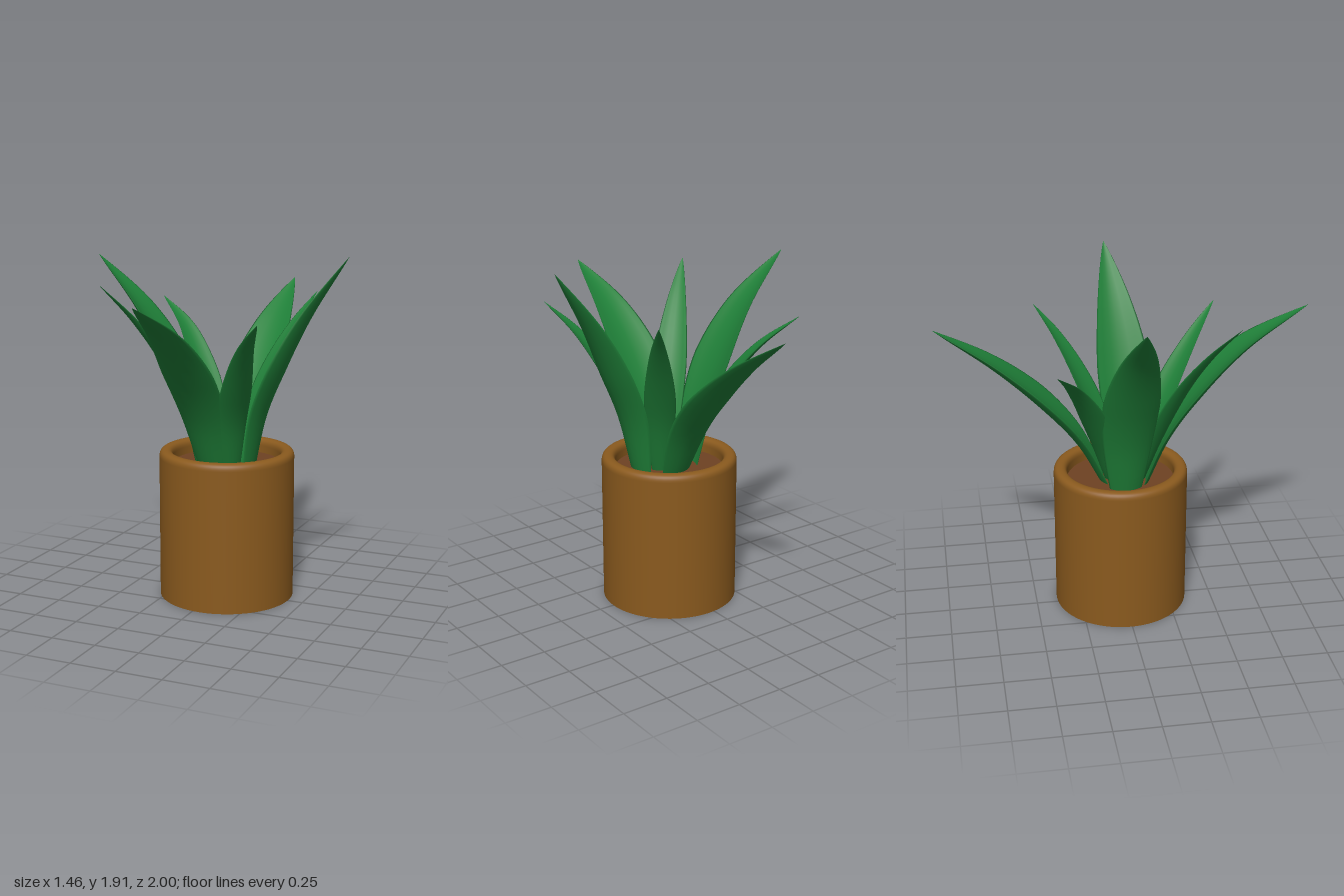
import * as THREE from 'three';

const material = (color, side = THREE.FrontSide) => new THREE.MeshStandardMaterial({ color, side });

// Half-width of a blade along its length: narrow foot, full middle, rounded tip
function bladeWidth(t) {
  const peak = 0.45;
  if (t < peak) return 0.55 + 0.45 * Math.sin((Math.PI / 2) * (t / peak));
  return Math.pow(Math.max(0, 1 - Math.pow((t - peak) / (1 - peak), 1.4)), 0.9);
}

// Closed, channelled blade swept along a curve from foot to tip
function leafGeometry(points, halfWidth) {
  const curve = new THREE.CatmullRomCurve3(points.map((p) => new THREE.Vector3(...p)));
  const rows = 36, half = 8, ring = half * 2;
  const foot = curve.getPoint(0), tip = curve.getPoint(1);
  const side = new THREE.Vector3(tip.z - foot.z, 0, foot.x - tip.x).normalize();
  const position = [], index = [];
  for (let i = 0; i <= rows; i++) {
    const t = Math.sin((i / rows) * Math.PI / 2); // finer rows near the tip
    const centre = curve.getPointAt(t);
    const tangent = curve.getTangentAt(t);
    const across = side.clone().addScaledVector(tangent, -side.dot(tangent)).normalize();
    const up = new THREE.Vector3().crossVectors(tangent, across).normalize();
    const w = halfWidth * bladeWidth(t);
    for (let j = 0; j < ring; j++) {
      const angle = (j / ring) * Math.PI * 2;
      const u = Math.cos(angle);
      const lift = w * (0.32 * (u * u - 0.5) + 0.1 * Math.sin(angle));
      const p = centre.clone().addScaledVector(across, u * w).addScaledVector(up, lift);
      position.push(p.x, p.y, p.z);
    }
  }
  for (let i = 0; i < rows; i++) {
    for (let j = 0; j < ring; j++) {
      const a = i * ring + j, b = i * ring + ((j + 1) % ring);
      index.push(a, b, a + ring, b, b + ring, a + ring);
    }
  }
  const geometry = new THREE.BufferGeometry();
  geometry.setAttribute('position', new THREE.Float32BufferAttribute(position, 3));
  geometry.setIndex(index);
  geometry.computeVertexNormals();
  return geometry;
}

export function createModel() {
  const model = new THREE.Group();
  const potX = 0.042, potZ = -0.01;

  // Pot with a rounded rim and a hollow top
  const profile = new THREE.Path();
  profile.moveTo(0, 0);
  profile.lineTo(0.372, 0);
  profile.lineTo(0.372, 0.79);
  profile.quadraticCurveTo(0.372, 0.83, 0.335, 0.83);
  profile.quadraticCurveTo(0.298, 0.83, 0.298, 0.79);
  profile.lineTo(0.298, 0.7);
  const outline = profile.getPoints(8);
  // Doubled corner points keep the base edge sharp
  const split = [outline[0], new THREE.Vector2(0.3715, 0), ...outline.slice(1)];
  const pot = new THREE.Mesh(new THREE.LatheGeometry(split, 64), material(0x8a5a1e, THREE.DoubleSide));
  pot.name = 'pot';
  pot.position.set(potX, 0, potZ);
  model.add(pot);

  // Soil disc just below the rim
  const soil = new THREE.Mesh(new THREE.CylinderGeometry(0.3, 0.3, 0.04, 48), material(0x6e4222));
  soil.name = 'soil';
  soil.position.set(potX, 0.73, potZ);
  model.add(soil);

  // Leaves: name, half-width, path from foot to tip
  const leaves = [
    ['frontLeaf', 0.15, [[0.01, 0.72, 0.11], [0, 1.03, 0.23], [-0.01, 1.28, 0.4], [-0.01, 1.52, 0.65], [-0.01, 1.73, 1]]],
    ['backLeaf', 0.15, [[0.05, 0.72, -0.09], [0.055, 1, -0.23], [0.06, 1.22, -0.41], [0.06, 1.45, -0.67], [0.06, 1.67, -1]]],
    ['rightLeaf', 0.153, [[-0.1, 0.72, 0], [-0.17, 1.05, 0], [-0.28, 1.32, 0.005], [-0.46, 1.6, 0.01], [-0.73, 1.87, 0]]],
    ['leftLeaf', 0.15, [[0.2, 0.72, 0.045], [0.26, 1.05, 0.05], [0.36, 1.3, 0.05], [0.51, 1.59, 0.03], [0.73, 1.91, 0]]],
    ['frontRightLeaf', 0.095, [[0.01, 0.72, 0.09], [-0.08, 1.05, 0.18], [-0.19, 1.35, 0.29], [-0.31, 1.58, 0.41], [-0.44, 1.77, 0.54]]],
    ['backRightLeaf', 0.09, [[0.03, 0.72, -0.05], [-0.08, 1, -0.12], [-0.2, 1.25, -0.21], [-0.34, 1.45, -0.31], [-0.53, 1.6, -0.41]]],
    ['backLeftLeaf', 0.085, [[0.11, 0.72, -0.03], [0.17, 1.05, -0.11], [0.25, 1.32, -0.22], [0.33, 1.52, -0.33], [0.405, 1.67, -0.44]]],
    ['frontLeftLeaf', 0.085, [[0.11, 0.72, 0.09], [0.16, 1.02, 0.19], [0.24, 1.25, 0.31], [0.34, 1.46, 0.45], [0.46, 1.62, 0.59]]],
  ];
  const green = material(0x1f7f38, THREE.DoubleSide);
  for (const [name, halfWidth, path] of leaves) {
    const leaf = new THREE.Mesh(leafGeometry(path, halfWidth), green);
    leaf.name = name;
    model.add(leaf);
  }
  return model;
}
